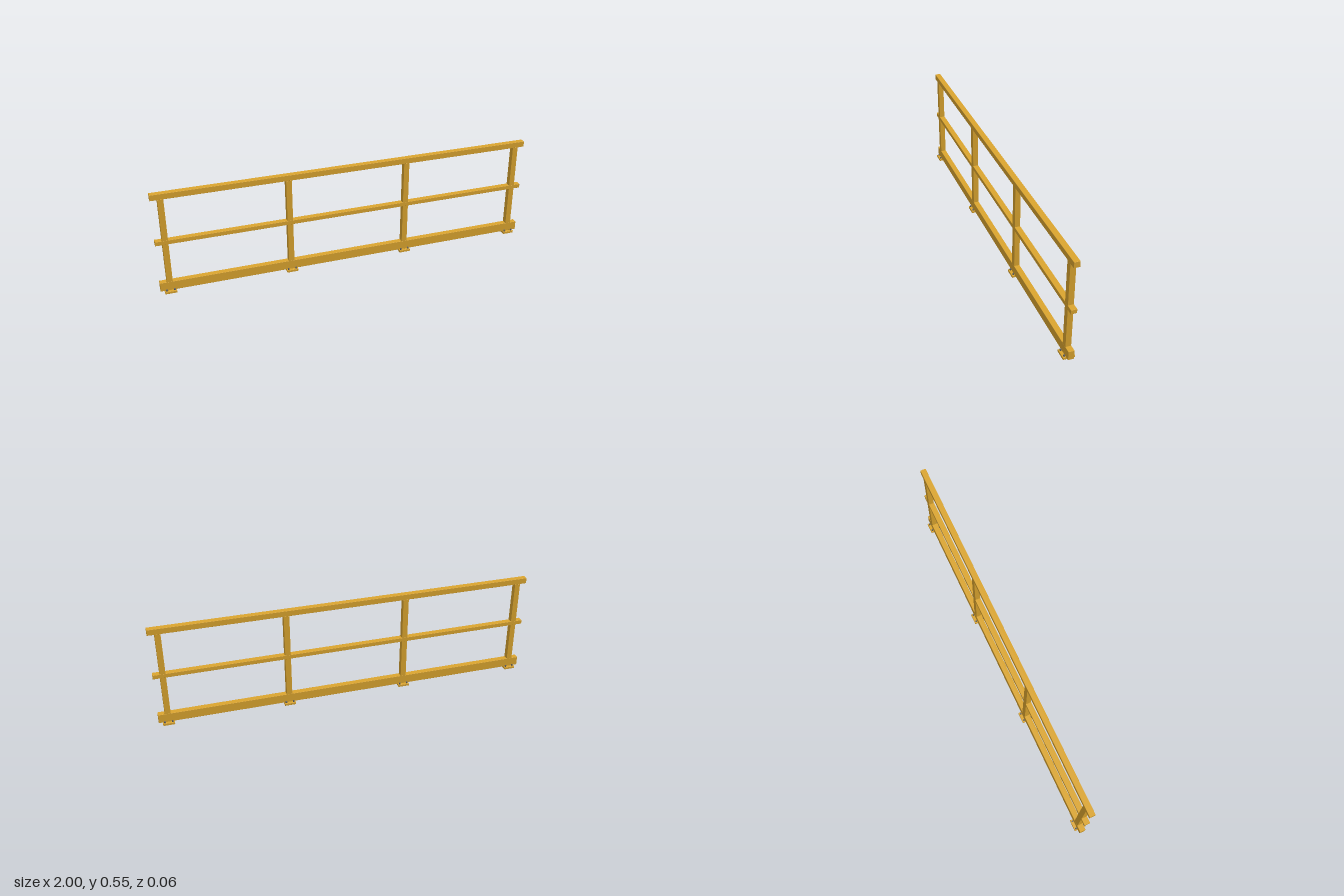
import * as THREE from 'three';
import { RoundedBoxGeometry } from 'three/addons/geometries/RoundedBoxGeometry.js';

const yellow = new THREE.MeshStandardMaterial({ color: 0xdba52f });
const steel = new THREE.MeshStandardMaterial({ color: 0x666666 });

// Softly edged bar standing on height y0 and reaching y1
function bar(name, width, y0, y1, depth) {
  const geometry = new RoundedBoxGeometry(width, y1 - y0, depth, 1, 0.0012);
  const mesh = new THREE.Mesh(geometry, yellow);
  mesh.name = name;
  mesh.position.y = (y0 + y1) / 2;
  return mesh;
}

// Upright with its foot plate and four bolts
function createPost() {
  const post = new THREE.Group();
  post.name = 'post';
  post.add(bar('upright', 0.03, 0.012, 0.522, 0.029));
  post.add(bar('footPlate', 0.06, 0, 0.012, 0.06));
  const boltGeometry = new THREE.CylinderGeometry(0.0045, 0.0045, 0.008, 8);
  for (const x of [-0.02, 0.02]) {
    for (const z of [-0.02, 0.02]) {
      const bolt = new THREE.Mesh(boltGeometry, steel);
      bolt.name = 'bolt';
      bolt.position.set(x, 0.016, z);
      post.add(bolt);
    }
  }
  return post;
}

export function createModel() {
  const railing = new THREE.Group();
  railing.name = 'railing';

  // Full-length horizontal members
  railing.add(bar('topRail', 2, 0.522, 0.552, 0.03));
  railing.add(bar('middleRail', 2, 0.275, 0.297, 0.03));
  railing.add(bar('kickBoard', 2, 0.012, 0.06, 0.03));

  // Four evenly spaced posts
  for (let i = 0; i < 4; i++) {
    const post = createPost();
    post.position.x = -0.95 + (i * 1.9) / 3;
    railing.add(post);
  }
  return railing;
}
